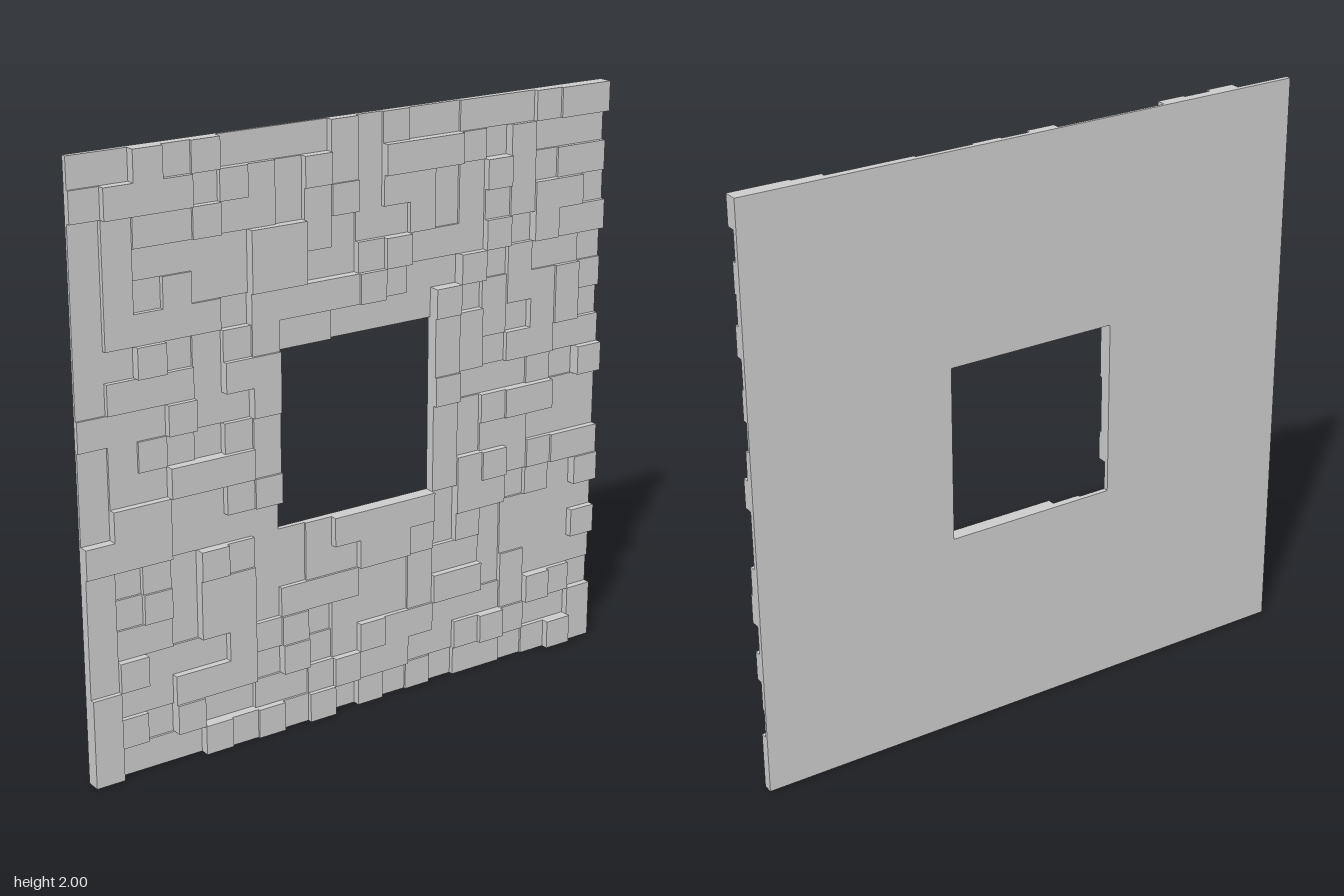
import * as THREE from 'three';
import { mergeGeometries } from 'three/addons/utils/BufferGeometryUtils.js';

const N = 20, CELL = 0.1, BACK = -0.025;
const LEVELS = [0.01, 0.018, 0.026, 0.034, 0.042, 0.05];

// Small seeded generator
function seeded(seed) {
  return () => {
    seed = (seed * 1664525 + 1013904223) >>> 0;
    return seed / 4294967296;
  };
}

// Square window opening, six cells wide and high
const isOpening = (c, r) => c >= 7 && c < 13 && r >= 7 && r < 13;

export function createModel() {
  const wall = new THREE.Group();
  wall.name = 'blockWall';
  const material = new THREE.MeshStandardMaterial({ color: 0xcccccc, flatShading: true });
  const random = seeded(41);

  // Depth of every cell; some cells join the block beside or below them
  const depth = [];
  for (let r = 0; r < N; r++) {
    depth.push([]);
    for (let c = 0; c < N; c++) {
      const join = random();
      let d = LEVELS[Math.floor(random() * LEVELS.length)];
      if (join < 0.2 && c > 0) d = depth[r][c - 1] || d;
      else if (join < 0.3 && r > 0) d = depth[r - 1][c] || d;
      depth[r].push(isOpening(c, r) ? 0 : d);
    }
  }
  depth[N - 1][N - 1] = 0.05;

  // One mesh per course, each run of equal depth becoming one block
  for (let r = 0; r < N; r++) {
    const blocks = [];
    for (let c = 0; c < N;) {
      const d = depth[r][c];
      let end = c + 1;
      while (end < N && depth[r][end] === d) end++;
      if (d > 0) {
        const block = new THREE.BoxGeometry((end - c) * CELL, CELL, d);
        block.translate((c + end) / 2 * CELL - 1, (r + 0.5) * CELL, BACK + d / 2);
        blocks.push(block);
      }
      c = end;
    }
    const course = new THREE.Mesh(mergeGeometries(blocks), material);
    course.name = `blockCourse${r + 1}`;
    wall.add(course);
  }
  return wall;
}
